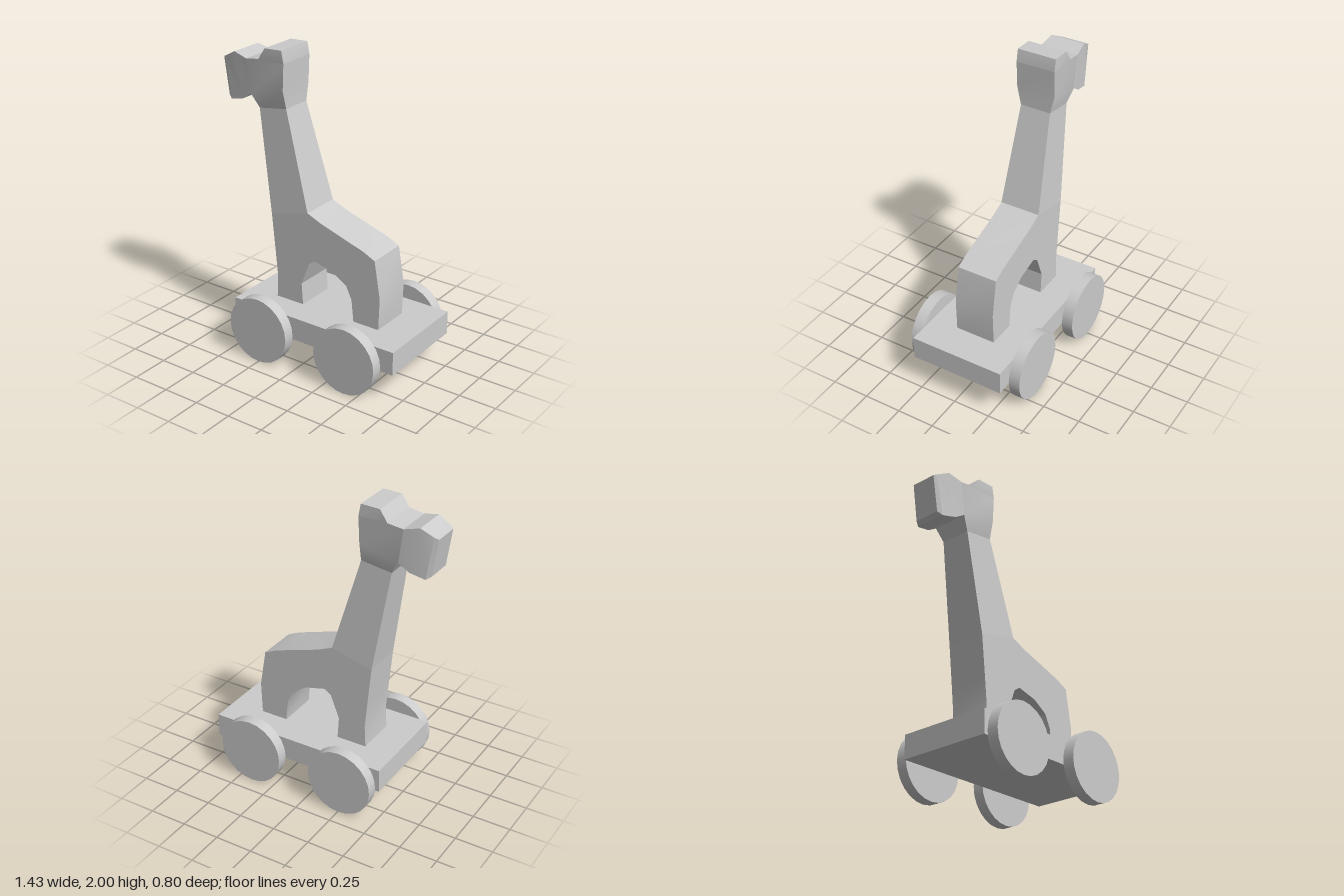
import * as THREE from 'three';
import { toCreasedNormals } from 'three/addons/utils/BufferGeometryUtils.js';

const material = new THREE.MeshStandardMaterial({ color: 0xcccccc });
const MID_Z = 0.005; // the animal stands a touch forward of centre

function addMesh(parent, name, geometry, x = 0, y = 0, z = 0) {
  const mesh = new THREE.Mesh(geometry, material);
  mesh.name = name;
  mesh.position.set(x, y, z);
  parent.add(mesh);
  return mesh;
}

// Skin four-cornered sections: [x0, y0, x1, y1, halfDepth0, halfDepth1]
function loft(sections) {
  const positions = [];
  const index = [];
  for (const [x0, y0, x1, y1, d0, d1] of sections) {
    positions.push(x0, y0, d0, x1, y1, d1, x1, y1, -d1, x0, y0, -d0);
  }
  for (let s = 0; s < sections.length - 1; s++) {
    for (let k = 0; k < 4; k++) {
      const a = s * 4 + k;
      const b = s * 4 + (k + 1) % 4;
      index.push(a, b, b + 4, a, b + 4, a + 4);
    }
  }
  const e = (sections.length - 1) * 4;
  index.push(0, 2, 1, 0, 3, 2, e, e + 1, e + 2, e, e + 2, e + 3);
  const geometry = new THREE.BufferGeometry();
  geometry.setAttribute('position', new THREE.Float32BufferAttribute(positions, 3));
  geometry.setIndex(index);
  return toCreasedNormals(geometry, 0.35);
}

export function createModel() {
  const model = new THREE.Group();
  model.name = 'giraffePullToy';

  // Rolling base
  addMesh(model, 'platform', new THREE.BoxGeometry(1.21, 0.155, 0.635), 0.11, 0.2775, 0.0025);
  const wheelShape = new THREE.CylinderGeometry(0.222, 0.222, 0.075, 24);
  wheelShape.rotateX(Math.PI / 2);
  for (const [end, x] of [['front', -0.252], ['rear', 0.408]]) {
    for (const [side, z] of [['Near', 0.3625], ['Far', -0.3625]]) {
      addMesh(model, `${end}Wheel${side}`, wheelShape, x, 0.225, z);
    }
  }

  const animal = new THREE.Group();
  animal.name = 'giraffe';
  animal.position.z = MID_Z;
  model.add(animal);

  // Body with both legs, cut from one board
  const outline = [
    [-0.29, 0.355], [-0.085, 0.355], [-0.095, 0.5], [-0.035, 0.655], [0.01, 0.685],
    [0.15, 0.65], [0.25, 0.585], [0.29, 0.5], [0.305, 0.355], [0.49, 0.355],
    [0.497, 0.57], [0.455, 0.815], [0.37, 0.855], [0.06, 0.955], [-0.045, 1.0],
    [-0.325, 0.93], [-0.3, 0.68], [-0.283, 0.5],
  ].map(([x, y]) => new THREE.Vector2(x, y));
  const body = new THREE.ExtrudeGeometry(new THREE.Shape(outline), { depth: 0.27, bevelEnabled: false });
  body.translate(0, 0, -0.135);
  addMesh(animal, 'bodyAndLegs', toCreasedNormals(body, 0.35));

  // Tapering neck
  addMesh(animal, 'neck', loft([
    [-0.325, 0.93, -0.045, 1.0, 0.135, 0.135],
    [-0.43, 1.6, -0.225, 1.63, 0.102, 0.102],
  ]));

  // Back of the head, rising to the crest
  addMesh(animal, 'skull', loft([
    [-0.43, 1.6, -0.225, 1.63, 0.102, 0.102],
    [-0.48, 1.685, -0.228, 1.75, 0.122, 0.13],
    [-0.51, 1.905, -0.22, 1.92, 0.126, 0.13],
    [-0.41, 1.92, -0.22, 1.921, 0.13, 0.13],
    [-0.36, 1.995, -0.235, 2.0, 0.13, 0.13],
  ]));

  // Narrowing muzzle
  addMesh(animal, 'muzzle', loft([
    [-0.48, 1.685, -0.51, 1.905, 0.122, 0.126],
    [-0.55, 1.64, -0.61, 1.93, 0.117, 0.114],
    [-0.65, 1.615, -0.695, 1.885, 0.105, 0.099],
    [-0.68, 1.635, -0.717, 1.875, 0.088, 0.086],
  ]));

  return model;
}
